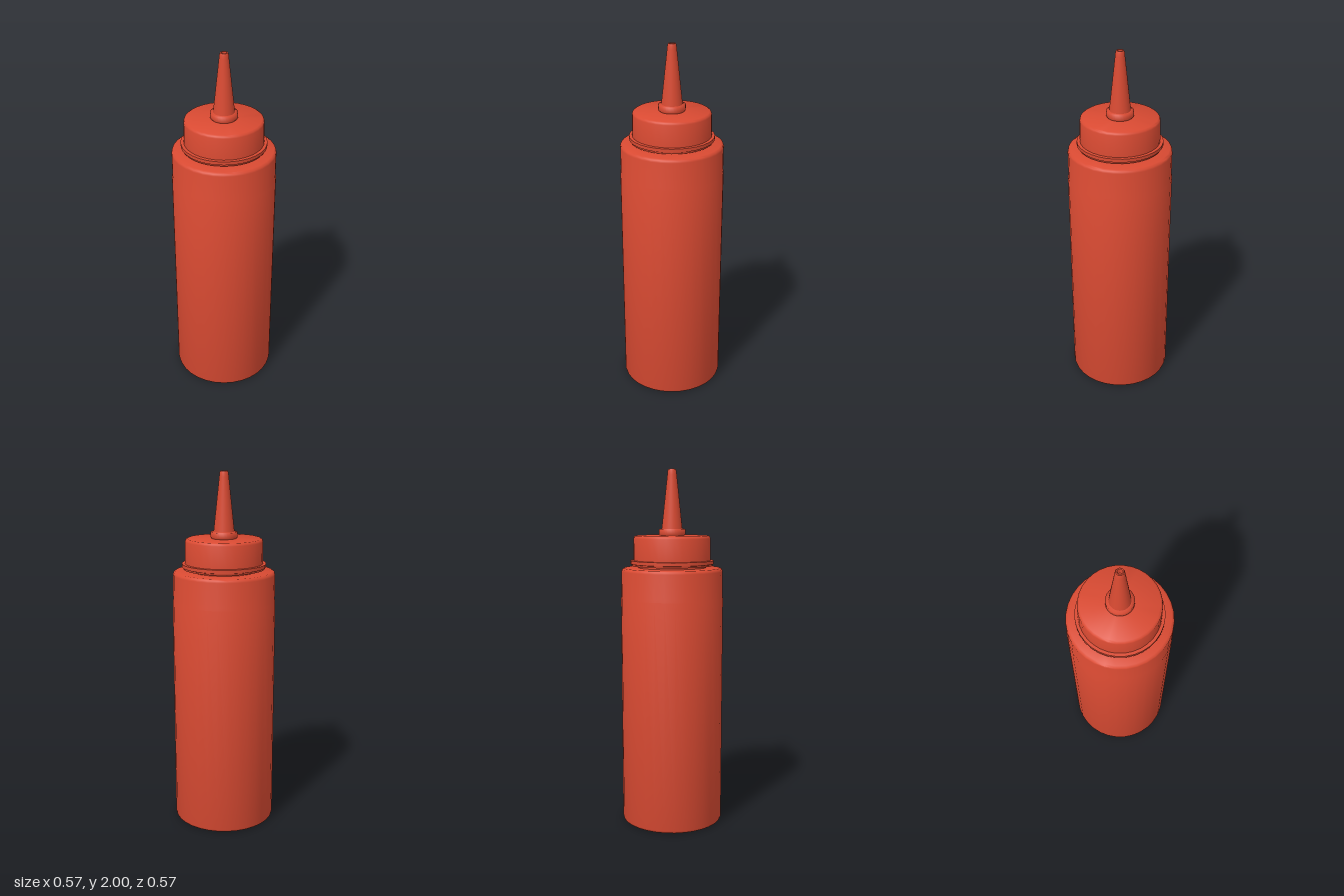
import * as THREE from 'three';
import { toCreasedNormals } from 'three/addons/utils/BufferGeometryUtils.js';

const material = new THREE.MeshStandardMaterial({ color: 0xd94a32 });

// Turns a [radius, height] profile (bottom to top along the outside) into a named part.
function turned(name, profile, crease) {
  const points = profile.map(([r, y]) => new THREE.Vector2(r, y));
  let geometry = new THREE.LatheGeometry(points, 32);
  if (crease) geometry = toCreasedNormals(geometry, crease);
  const mesh = new THREE.Mesh(geometry, material);
  mesh.name = name;
  return mesh;
}

export function createModel() {
  const model = new THREE.Group();
  model.name = 'squeezeBottle';

  // Body with softened rims and a slightly slimmer shoulder
  model.add(turned('body', [
    [0, 0], [0.278, 0], [0.284, 0.004], [0.287, 0.014], [0.287, 1.29],
    [0.284, 1.3], [0.284, 1.44], [0.281, 1.451], [0.27, 1.458], [0.18, 1.46],
  ], 0.8));

  // Neck showing in the gap under the cap
  model.add(turned('neck', [[0.19, 1.45], [0.19, 1.49]]));

  // Cap with its flange and rounded top edge
  model.add(turned('cap', [
    [0.18, 1.47], [0.226, 1.47], [0.228, 1.479], [0.234, 1.481], [0.234, 1.5],
    [0.217, 1.501], [0.215, 1.622], [0.212, 1.631], [0.203, 1.637], [0, 1.638],
  ], 0.8));

  // Collar around the foot of the nozzle
  model.add(turned('collar', [
    [0.068, 1.637], [0.074, 1.645], [0.074, 1.673], [0.056, 1.675],
  ]));

  // Tapered nozzle
  model.add(turned('nozzle', [
    [0.058, 1.67], [0.026, 1.97], [0.024, 1.99], [0.02, 2],
  ]));

  // Tip rim and the hole inside it
  model.add(turned('nozzleHole', [
    [0.02, 2], [0.014, 2], [0.012, 1.96], [0, 1.96],
  ], 0.8));

  return model;
}
